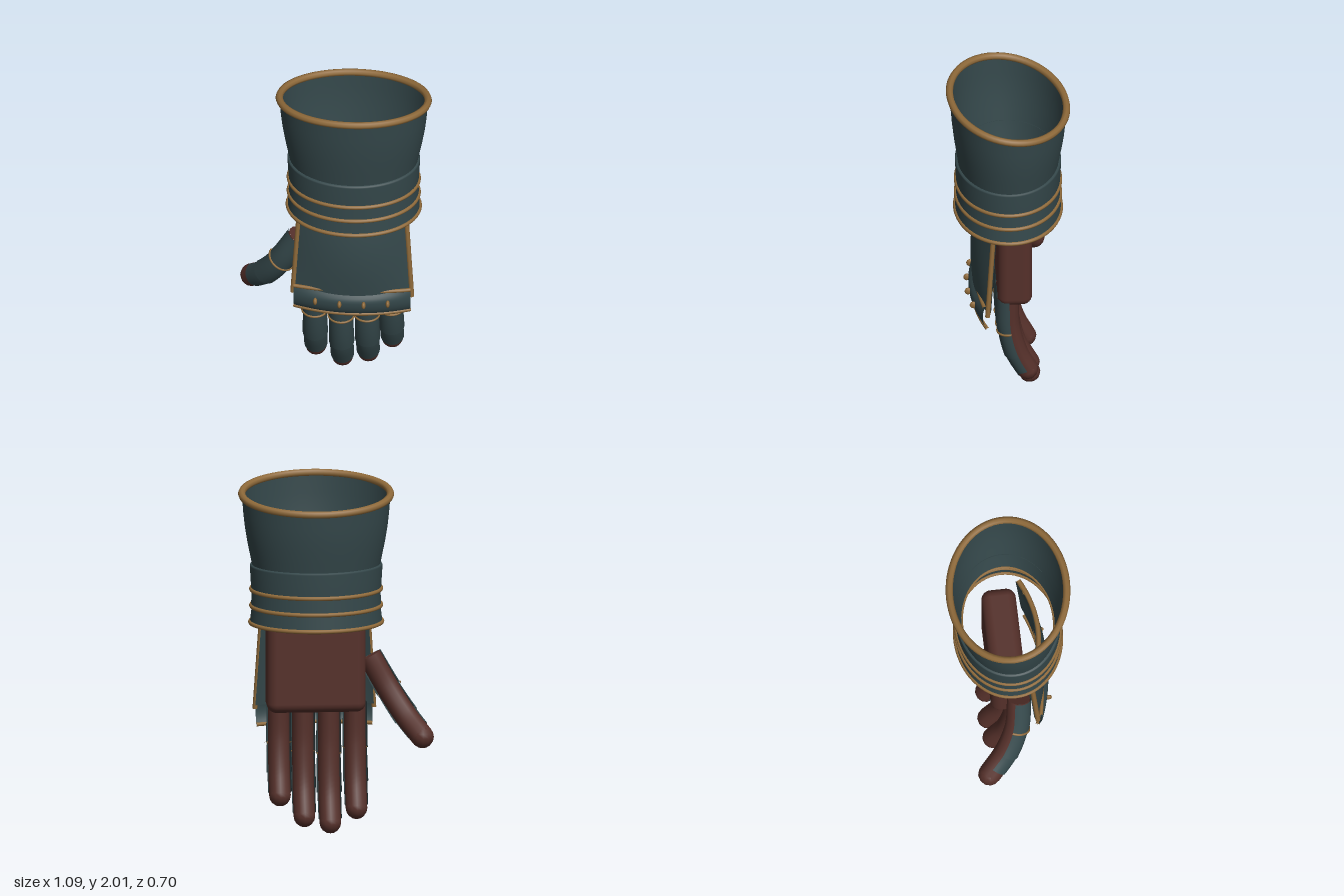
import * as THREE from 'three';
import { RoundedBoxGeometry } from 'three/addons/geometries/RoundedBoxGeometry.js';

const V = (x, y, z) => new THREE.Vector3(x, y, z);
const lerp = THREE.MathUtils.lerp;
const CX = 0.105; // centre line of the cuff and hand plates

export function createModel() {
  const group = new THREE.Group();
  const steel = new THREE.MeshStandardMaterial({ color: 0x34474a, side: THREE.DoubleSide });
  const brass = new THREE.MeshStandardMaterial({ color: 0x8f6a3a });
  const leather = new THREE.MeshStandardMaterial({ color: 0x55302a });
  steel.name = 'blued steel';
  brass.name = 'brass trim';
  leather.name = 'brown leather';

  const add = (name, geometry, material, parent = group) => {
    const mesh = new THREE.Mesh(geometry, material);
    mesh.name = name;
    parent.add(mesh);
    return mesh;
  };

  // Curved plate from a rule fn(u, v), both 0..1
  const sheet = (nu, nv, fn) => {
    const pos = [], index = [];
    for (let j = 0; j <= nv; j++)
      for (let i = 0; i <= nu; i++) pos.push(...fn(i / nu, j / nv).toArray());
    for (let j = 0; j < nv; j++)
      for (let i = 0; i < nu; i++) {
        const a = j * (nu + 1) + i, b = a + nu + 1;
        index.push(a, b, a + 1, b, b + 1, a + 1);
      }
    const g = new THREE.BufferGeometry();
    g.setAttribute('position', new THREE.Float32BufferAttribute(pos, 3));
    g.setIndex(index);
    g.computeVertexNormals();
    return g;
  };

  // Brass wire along a rule fn(t)
  const trim = (name, fn, r, closed = false, n = 24, parent = group) => {
    const pts = [];
    for (let i = 0; i < (closed ? n : n + 1); i++) pts.push(fn(i / n));
    const curve = new THREE.CatmullRomCurve3(pts, closed);
    return add(name, new THREE.TubeGeometry(curve, closed ? 72 : n, r, 8, closed), brass, parent);
  };
  const ring = (name, rx, rz, y, r, slope = 0) => trim(name, (t) => {
    const a = t * Math.PI * 2, z = rz * Math.sin(a);
    return V(CX + rx * Math.cos(a), y + slope * z, z);
  }, r, true, 36);

  // Oval turned shells; the slope tilts the upper part
  const shell = (name, profile, ratio, slope = 0) => {
    const pts = profile.map(([r, y]) => new THREE.Vector2(r, y));
    const g = new THREE.LatheGeometry(pts, 72);
    g.scale(1, 1, ratio);
    const p = g.attributes.position;
    for (let i = 0; i < p.count; i++) {
      const w = THREE.MathUtils.clamp((p.getY(i) - 1.5) / 0.43, 0, 1);
      p.setY(i, p.getY(i) + slope * w * p.getZ(i));
    }
    g.translate(CX, 0, 0);
    return add(name, g, steel);
  };

  // Flared cuff with rolled rim
  shell('cuff', [[0.333, 1.4], [0.35, 1.47], [0.362, 1.53], [0.376, 1.6], [0.39, 1.67],
    [0.403, 1.75], [0.412, 1.83], [0.42, 1.935]], 0.785, 0.16);
  ring('cuffRim', 0.42, 0.33, 1.935, 0.021, 0.16);
  ring('cuffInnerTrim', 0.333, 0.261, 1.4, 0.008);

  // Overlapping wrist bands
  shell('wristBand', [[0.358, 1.536], [0.371, 1.533], [0.375, 1.525], [0.367, 1.39]], 0.8);
  shell('wristBand', [[0.362, 1.4], [0.368, 1.295]], 0.8);
  shell('wristBand', [[0.362, 1.305], [0.374, 1.2]], 0.8);
  [[0.367, 1.39], [0.367, 1.295], [0.373, 1.2]].forEach(([r, y]) =>
    ring('wristTrim', r, r * 0.8, y, 0.012));

  // Palm block
  add('palm', new RoundedBoxGeometry(0.56, 0.53, 0.195, 5, 0.055), leather)
    .position.set(CX + 0.005, 0.955, -0.027);

  // Back-of-hand plate, u is -1..1 across and v is 0..1 downward
  const backPlate = (u, v) => {
    const edge = lerp(0.095, 0.13, v);
    const centre = lerp(0.17, 0.2, v) + 0.025 * Math.sin(v * Math.PI);
    return V(CX + lerp(0.3, 0.335, v) * u, lerp(1.24, 0.695, v), lerp(edge, centre, 1 - u * u));
  };
  add('backPlate', sheet(28, 12, (u, v) => backPlate(u * 2 - 1, v)), steel);
  add('backPlateLining', sheet(28, 12, (u, v) => backPlate(u * 2 - 1, v).add(V(0, 0, -0.018))), steel);
  trim('backPlateTopTrim', (t) => backPlate(t * 2 - 1, 0), 0.014);
  for (const s of [-1, 1]) {
    trim('backPlateSideTrim', (t) => backPlate(s, t * 1.04), 0.014);
    add('backPlateRivet', new THREE.SphereGeometry(0.018, 12, 8), brass)
      .position.copy(backPlate(s * 0.84, 0.14));
  }

  // Knuckle plate, rolled forward and back under
  const roll = new THREE.CatmullRomCurve3([V(0, 0.728, 0.148), V(0, 0.695, 0.156),
    V(0, 0.65, 0.158), V(0, 0.61, 0.148), V(0, 0.58, 0.13)]);
  const knuckle = (u, v) => {
    const p = roll.getPoint(v);
    return V(CX + 0.33 * u, p.y, p.z + lerp(0.035, 0.065, Math.min(1, v * 3)) * (1 - u * u));
  };
  add('knucklePlate', sheet(28, 12, (u, v) => knuckle(u * 2 - 1, v)), steel);
  trim('knuckleTopTrim', (t) => knuckle(t * 2 - 1, 0), 0.011);
  trim('knuckleBottomTrim', (t) => knuckle(t * 2 - 1, 1), 0.011);
  for (const x of [-0.1, 0.038, 0.175, 0.31]) {
    const stud = add('knuckleStud', new THREE.SphereGeometry(0.02, 12, 8), brass);
    stud.scale.set(0.6, 1.1, 1);
    stud.position.copy(knuckle((x - CX) / 0.33, 0.42)).add(V(0, 0, 0.008));
  }

  // Leather digit with three half-round plates facing the given direction
  const digit = (name, points, facing, radius, stops) => {
    const part = new THREE.Group();
    part.name = name;
    group.add(part);
    const path = new THREE.CatmullRomCurve3(points);
    add('leatherDigit', new THREE.TubeGeometry(path, 20, radius, 12), leather, part);
    add('digitTip', new THREE.SphereGeometry(radius, 12, 8), leather, part).position.copy(path.getPoint(1));
    const cap = add('digitBase', new THREE.CircleGeometry(radius, 12), leather, part);
    cap.position.copy(points[0]);
    cap.lookAt(points[0].clone().sub(path.getTangent(0)));
    const around = (t, a, r) => {
      const T = path.getTangentAt(t);
      const N = facing.clone().addScaledVector(T, -facing.dot(T)).normalize();
      const B = T.clone().cross(N);
      return path.getPointAt(t).addScaledVector(N, r * Math.cos(a)).addScaledVector(B, r * Math.sin(a));
    };
    const angle = (u) => (u * 2 - 1) * 1.65;
    for (let i = 0; i < 3; i++) {
      const end = radius + (i === 2 ? 0.005 : 0.011);
      add('digitPlate', sheet(14, 6, (u, v) => around(
        lerp(Math.max(0, stops[i] - 0.02), stops[i + 1], v), angle(u), lerp(radius + 0.006, end, v))), steel, part);
    }
    trim('digitTrim', (t) => around(stops[1], angle(t), radius + 0.011), 0.007, false, 14, part);
  };

  // Four fingers: x, tip height, tip depth
  [[-0.115, 0.14, -0.11], [0.034, 0.062, -0.122], [0.18, 0.1, -0.118], [0.317, 0.218, -0.1]]
    .forEach(([x, y, z]) => {
      const at = (t) => lerp(0.73, y, t);
      digit('finger', [V(x, at(0), 0.01), V(x, at(0.4), 0.003), V(x, at(0.75), -0.04), V(x, y, z)],
        V(0, 0, 1), 0.061, [0, 0.43, 0.74, 0.96]);
    });

  // Thumb
  digit('thumb', [V(-0.2, 0.99, 0.025), V(-0.3, 0.81, 0), V(-0.395, 0.665, -0.07), V(-0.483, 0.56, -0.172)],
    V(-0.3, 0, 0.95), 0.065, [0, 0.38, 0.7, 0.9]);

  return group;
}
